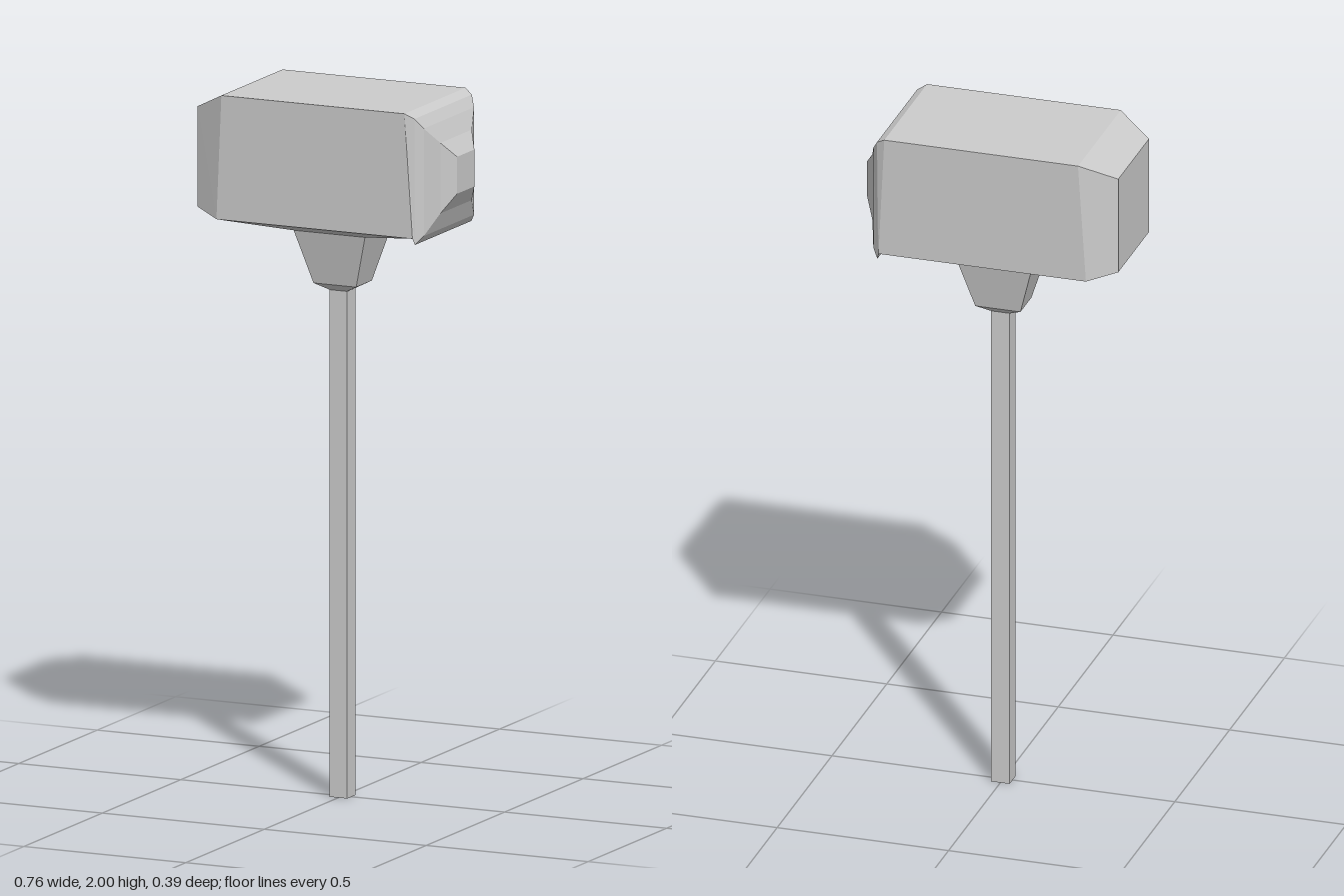
import * as THREE from 'three';

const material = new THREE.MeshStandardMaterial({ color: 0xcccccc, flatShading: true });

// Skins four-cornered rings (counter-clockwise about the travel direction) and caps both ends.
function loft(name, rings) {
  const pos = [];
  const quad = (a, b, c, d) => pos.push(...a, ...b, ...c, ...a, ...c, ...d);
  for (let i = 0; i < rings.length - 1; i++) {
    for (let j = 0; j < 4; j++) {
      const k = (j + 1) % 4;
      quad(rings[i][j], rings[i][k], rings[i + 1][k], rings[i + 1][j]);
    }
  }
  const [s, e] = [rings[0], rings[rings.length - 1]];
  quad(s[3], s[2], s[1], s[0]);
  quad(e[0], e[1], e[2], e[3]);
  const geometry = new THREE.BufferGeometry();
  geometry.setAttribute('position', new THREE.Float32BufferAttribute(pos, 3));
  geometry.computeVertexNormals();
  const mesh = new THREE.Mesh(geometry, material);
  mesh.name = name;
  return mesh;
}

// Upright ring across the head: x, y and half depth at the bottom, then at the top
const headRing = ([xb, yb, zb, xt, yt, zt]) =>
  [[xb, yb, zb], [xb, yb, -zb], [xt, yt, -zt], [xt, yt, zt]];

// Level rectangle at height y, from x0 to x1, with half depth z
const levelRing = ([y, x0, x1, z]) =>
  [[x0, y, z], [x1, y, z], [x1, y, -z], [x0, y, -z]];

export function createModel() {
  const group = new THREE.Group();
  group.name = 'hammer';

  // Head: chamfered flat end on the left of the list, stepped striking face at the end
  group.add(loft('head', [
    [-0.38, 1.665, 0.14, -0.38, 1.95, 0.14],
    [-0.30, 1.645, 0.185, -0.28, 2.0, 0.195],
    [0.305, 1.645, 0.185, 0.285, 2.0, 0.195],
    [0.31, 1.627, 0.18, 0.31, 1.985, 0.183],
    [0.328, 1.65, 0.16, 0.328, 1.955, 0.16],
    [0.35, 1.705, 0.10, 0.35, 1.905, 0.10],
    [0.38, 1.755, 0.055, 0.38, 1.86, 0.055],
  ].map(headRing)));

  // Shallow sloping underside, narrowing to the collar
  group.add(loft('headUnderside', [
    [1.612, -0.11, 0.11, 0.085],
    [1.645, -0.30, 0.305, 0.185],
  ].map(levelRing)));

  // Tapered collar joining head and handle
  group.add(loft('collar', [
    [1.44, -0.027, 0.027, 0.027],
    [1.46, -0.066, 0.066, 0.05],
    [1.612, -0.11, 0.11, 0.085],
  ].map(levelRing)));

  // Square handle
  const handle = new THREE.Mesh(new THREE.BoxGeometry(0.054, 1.44, 0.054), material);
  handle.name = 'handle';
  handle.position.y = 0.72;
  group.add(handle);

  return group;
}
